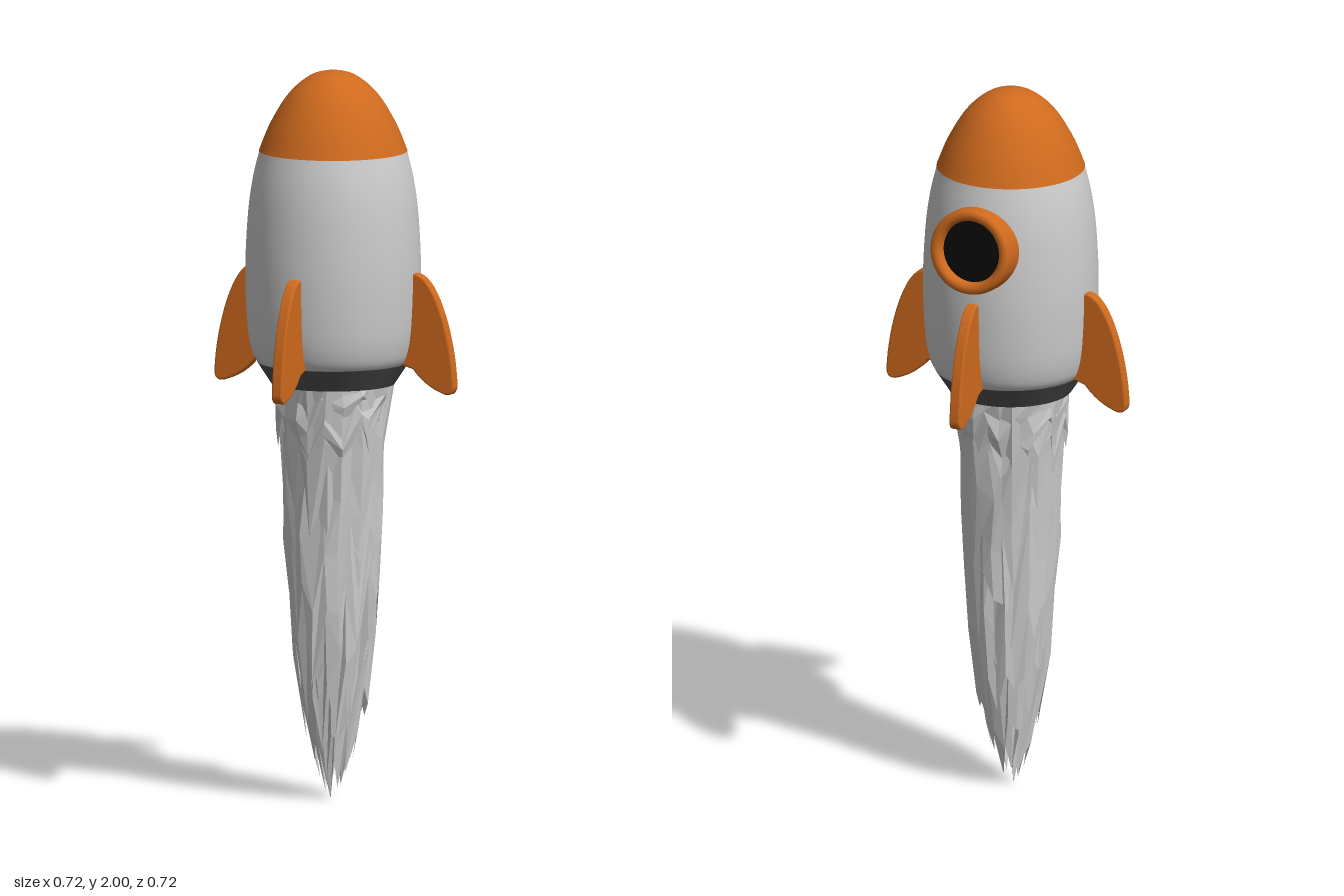
import * as THREE from 'three';

const V2 = (x, y) => new THREE.Vector2(x, y);

function mesh(name, geometry, color, side = THREE.FrontSide, flatShading = false) {
  const m = new THREE.Mesh(geometry, new THREE.MeshStandardMaterial({ color, side, flatShading }));
  m.name = name;
  return m;
}

// Smooth curve through a few profile points
const smooth = (pts, n) => new THREE.SplineCurve(pts.map(p => V2(...p))).getPoints(n);

// Small seeded generator
function seeded(seed) {
  return () => (seed = (seed * 16807) % 2147483647) / 2147483647;
}

// Flame radius at height y
const flameProfile = [[0, 0.02], [0.06, 0.045], [0.2, 0.09], [0.4, 0.12], [0.62, 0.132], [0.9, 0.138], [1.0, 0.15], [1.18, 0.168]];
function flameRadius(y) {
  for (let i = 1; i < flameProfile.length; i++) {
    const [y0, r0] = flameProfile[i - 1], [y1, r1] = flameProfile[i];
    if (y <= y1) return THREE.MathUtils.mapLinear(y, y0, y1, r0, r1);
  }
  return 0.168;
}

// Faceted tube whose columns end alternately in tips and notches
function flameLayer({ top, low, high, notch, scale, columns, seed }) {
  const rnd = seeded(seed), rows = 4, pos = [], idx = [];
  for (let i = 0; i < columns; i++) {
    const tip = i === 0 ? low : low + (high - low) * rnd();
    const end = i % 2 ? tip + notch * (0.6 + 0.6 * rnd()) : tip;
    const angle = (i + 0.5 * (rnd() - 0.5)) / columns * Math.PI * 2;
    for (let j = 0; j <= rows; j++) {
      const y = THREE.MathUtils.lerp(top, end, j / rows);
      const r = flameRadius(y) * scale * (0.9 + 0.13 * rnd());
      const a = angle + 0.12 * (rnd() - 0.5);
      pos.push(r * Math.sin(a), y, r * Math.cos(a));
    }
  }
  const n = rows + 1;
  for (let i = 0; i < columns; i++) {
    const k = (i + 1) % columns;
    for (let j = 0; j < rows; j++) {
      const a = i * n + j, b = k * n + j;
      idx.push(a, a + 1, b, b, a + 1, b + 1);
    }
  }
  const g = new THREE.BufferGeometry();
  g.setAttribute('position', new THREE.Float32BufferAttribute(pos, 3));
  g.setIndex(idx);
  g.computeVertexNormals();
  return g;
}

export function createModel() {
  const rocket = new THREE.Group();
  rocket.name = 'rocket';
  const orange = 0xcf6a1e, grey = 0xcccccc, dark = 0x505050;

  // Hull
  const hull = smooth([[0.2, 1.195], [0.219, 1.225], [0.233, 1.3], [0.239, 1.45], [0.232, 1.6], [0.219, 1.7], [0.2, 1.78]], 36);
  rocket.add(mesh('hull', new THREE.LatheGeometry(hull, 64), grey));

  // Nose cone
  const nose = smooth([[0.202, 1.778], [0.17, 1.855], [0.12, 1.935], [0.06, 1.985], [0, 2]], 28);
  nose[nose.length - 1].x = 0;
  rocket.add(mesh('noseCone', new THREE.LatheGeometry(nose, 64), orange));

  // Engine skirt, with a flat underside
  const skirt = new THREE.Group();
  skirt.name = 'engineSkirt';
  skirt.add(mesh('skirtWall', new THREE.CylinderGeometry(0.207, 0.168, 0.06, 64), dark));
  skirt.position.y = 1.17;
  rocket.add(skirt);

  // Porthole on the back, tilted to follow the hull
  const porthole = new THREE.Group();
  porthole.name = 'porthole';
  const rim = [[0.119, -0.02], [0.119, 0.055], [0.116, 0.066], [0.108, 0.071], [0.098, 0.071], [0.09, 0.066], [0.086, 0.057], [0.086, 0.03]];
  porthole.add(mesh('portholeRim', new THREE.LatheGeometry(rim.map(p => V2(...p)), 48), orange));
  const glass = mesh('portholeGlass', new THREE.CylinderGeometry(0.087, 0.087, 0.02, 48), 0x0a0a0a);
  glass.position.y = 0.035;
  porthole.add(glass);
  porthole.position.set(0, 1.603, -0.2);
  porthole.rotation.x = -Math.PI / 2 + 0.1;
  rocket.add(porthole);

  // Four swept fins
  const s = new THREE.Shape();
  s.moveTo(0.19, 1.21);
  s.lineTo(0.19, 1.448);
  s.lineTo(0.245, 1.448);
  s.bezierCurveTo(0.3, 1.44, 0.35, 1.28, 0.355, 1.15);
  s.quadraticCurveTo(0.354, 1.127, 0.332, 1.132);
  s.quadraticCurveTo(0.275, 1.15, 0.24, 1.195);
  s.lineTo(0.19, 1.21);
  const fin = new THREE.ExtrudeGeometry(s, {
    depth: 0.022, bevelEnabled: true, bevelThickness: 0.005, bevelSize: 0.005, bevelSegments: 2, curveSegments: 16,
  }).translate(0, 0, -0.011);
  ['leftFin', 'backFin', 'rightFin', 'frontFin'].forEach((name, i) => {
    const f = mesh(name, fin, orange);
    f.rotation.y = i * Math.PI / 2;
    if (i % 2 === 0) f.position.z = -0.018;
    rocket.add(f);
  });

  // Exhaust flame: jagged layers, shorter towards the outside
  const flame = new THREE.Group();
  flame.name = 'exhaustFlame';
  [
    { top: 1.15, low: 0.89, high: 0.98, notch: 0.09, scale: 1, columns: 22, seed: 11 },
    { top: 1.14, low: 0.32, high: 0.58, notch: 0.17, scale: 0.99, columns: 24, seed: 47 },
    { top: 1.14, low: 0.14, high: 0.32, notch: 0.14, scale: 0.95, columns: 24, seed: 83 },
    { top: 1.14, low: 0.05, high: 0.18, notch: 0.12, scale: 0.88, columns: 20, seed: 131 },
    { top: 1.14, low: 0, high: 0.08, notch: 0.1, scale: 0.72, columns: 14, seed: 199 },
  ].forEach((o, i) => flame.add(mesh('flameLayer' + (i + 1), flameLayer(o), grey, THREE.DoubleSide, true)));
  rocket.add(flame);

  return rocket;
}
